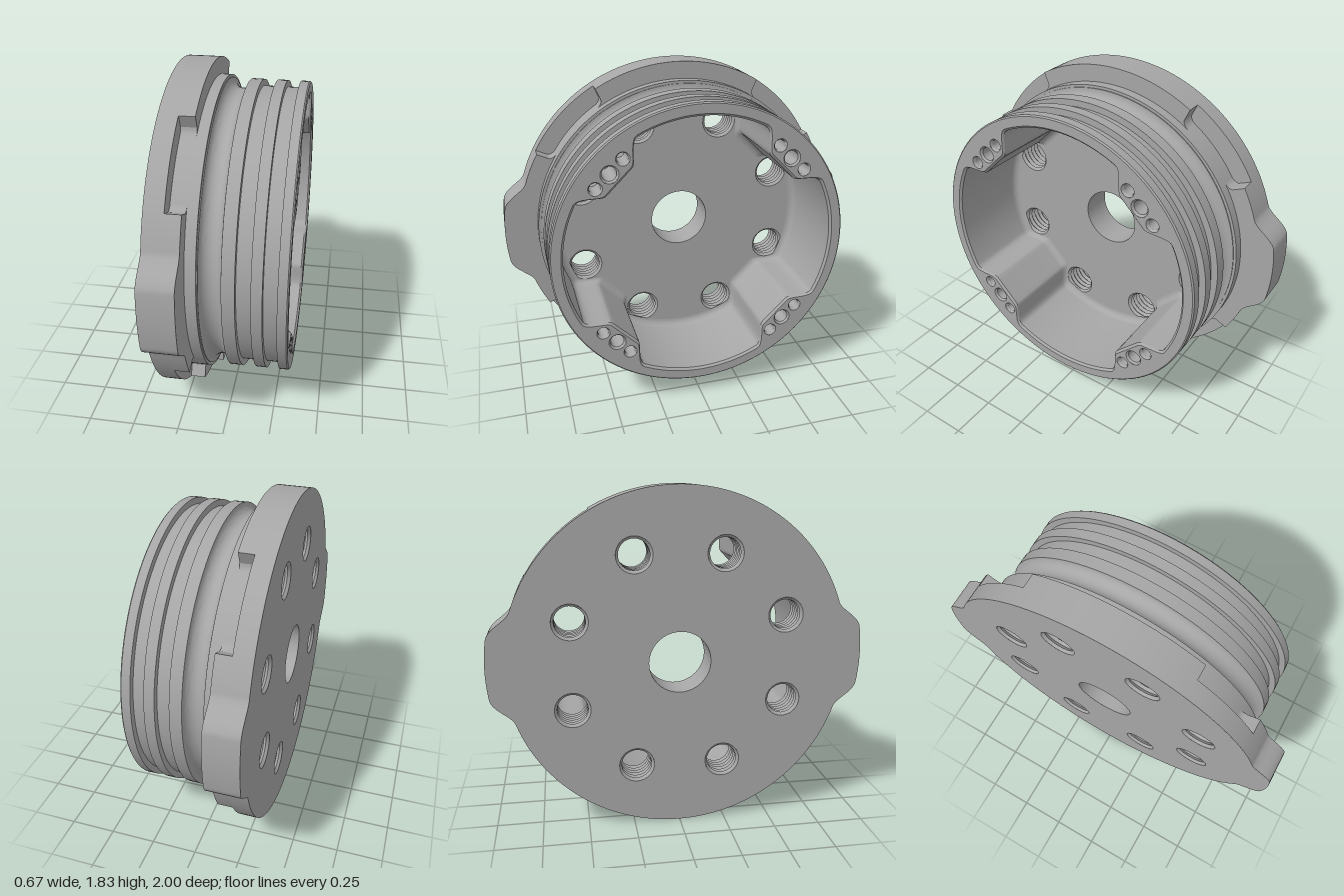
import * as THREE from 'three';
import { toCreasedNormals } from 'three/addons/utils/BufferGeometryUtils.js';

const RAD = Math.PI / 180;
const BACK = -0.335, LEDGE = -0.235, FLOOR = -0.155, SHOULDER = -0.1, FRONT = 0.333;
const FLANGE_R = 0.9125, SHOULDER_R = 0.82;

export function createModel() {
  const metal = new THREE.MeshStandardMaterial({ color: 0xa6a6a6 });
  metal.name = 'machined grey';

  const model = new THREE.Group();
  model.name = 'threadedHub';
  // Everything is built around local z, then turned so that the axis lies on x.
  const hub = new THREE.Group();
  hub.name = 'hub';
  hub.rotation.y = Math.PI / 2;
  hub.position.y = FLANGE_R;
  model.add(hub);

  const add = (name, geometry, x = 0, y = 0) => {
    const mesh = new THREE.Mesh(toCreasedNormals(geometry, 0.45), metal);
    mesh.name = name;
    mesh.position.set(x, y, 0);
    hub.add(mesh);
  };
  const smooth = (a, b, v) => THREE.MathUtils.smoothstep(v, a, b);
  const polar = (r, deg) => new THREE.Vector2(r * Math.cos(deg * RAD), r * Math.sin(deg * RAD));
  const outline = (radiusAt, n = 720) =>
    Array.from({ length: n }, (_, i) => polar(radiusAt(i * 360 / n), i * 360 / n));
  const circle = (r, x = 0, y = 0) =>
    new THREE.Path().absarc(x, y, r, 0, Math.PI * 2, false);
  const extrude = (shape, z0, z1) =>
    new THREE.ExtrudeGeometry(shape, { depth: z1 - z0, bevelEnabled: false, curveSegments: 32 })
      .translate(0, 0, z0);
  // Profile of [radius, z]; rising z faces outward, falling z faces inward.
  const lathe = (profile, segments) =>
    new THREE.LatheGeometry(profile.map(([r, z]) => new THREE.Vector2(r, z)), segments)
      .rotateX(Math.PI / 2);

  // Step with a rounded inner corner: 0 outside, 1 fully inside; e in degrees
  const filletStep = (e) => {
    if (e <= 0) return 0;
    const t = 1 - Math.min(e / 3.4, 1);
    return 0.5 + 0.5 * Math.sqrt(1 - t * t);
  };
  // Angle to the nearest horizontal direction, 0 to 90
  const fold = (deg) => {
    const a = deg % 180;
    return Math.min(a, 180 - a);
  };
  const flangeR = (deg) => FLANGE_R + 0.0875 * (1 - smooth(9, 19, fold(deg)));
  const notchedR = (deg) =>
    flangeR(deg) - (FLANGE_R - SHOULDER_R) * filletStep(15 - Math.abs(fold(deg) - 45));
  const shoulderR = (deg) =>
    FLANGE_R - (FLANGE_R - SHOULDER_R) * filletStep(Math.abs(deg - 270) - 11.4);
  // Round pocket with a flat boss on each diagonal
  const pocketR = (deg) => {
    const d = Math.abs(deg % 90 - 45);
    const flat = 0.608 / Math.cos(Math.min(d, 12) * RAD);
    return THREE.MathUtils.lerp(flat, 0.733, smooth(9, 18, d));
  };

  // Flange: eared plate, then a layer with four rim notches
  const boltSpots = Array.from({ length: 8 }, (_, i) => polar(0.615, 22.5 + i * 45));
  const flangeLayer = (radiusAt) => {
    const shape = new THREE.Shape(outline(radiusAt));
    shape.holes.push(circle(0.165));
    boltSpots.forEach((p) => shape.holes.push(circle(0.095, p.x, p.y)));
    return shape;
  };
  add('flangePlate', extrude(flangeLayer(flangeR), BACK, LEDGE));
  add('notchedFlange', extrude(flangeLayer(notchedR), LEDGE, FLOOR));

  // Shoulder ring with the locating tab at the bottom
  const shoulder = new THREE.Shape(outline(shoulderR));
  shoulder.holes.push(circle(0.76));
  add('shoulderWithTab', extrude(shoulder, FLOOR, SHOULDER));

  // Outer body: round groove followed by two square grooves
  const body = [[0.77, SHOULDER], [0.805, SHOULDER], [0.805, -0.095]];
  for (let i = 1; i <= 16; i++) {
    const t = i * Math.PI / 16;
    body.push([0.803 - 0.054 * Math.sin(t), -0.04 - 0.055 * Math.cos(t)]);
  }
  for (const [z0, z1] of [[0.08, 0.155], [0.21, 0.28]]) {
    body.push([0.802, z0], [0.767, z0], [0.767, z1], [0.802, z1]);
  }
  body.push([0.802, 0.326], [0.795, FRONT]);
  add('groovedBody', lathe(body, 128));

  // Pocket wall: chamfered lip, straight side, fillet down to the floor
  const rings = [[0.012, FRONT], [0, 0.321]];
  const fillet = 0.04;
  for (let i = 0; i <= 6; i++) {
    const t = i * Math.PI / 12;
    rings.push([-fillet * (1 - Math.cos(t)), FLOOR + fillet * (1 - Math.sin(t))]);
  }
  const N = 360, positions = [], index = [];
  rings.forEach(([offset, z], i) => {
    for (let j = 0; j < N; j++) {
      const p = polar(pocketR(j * 360 / N) + offset, j * 360 / N);
      positions.push(p.x, p.y, z);
      if (i === rings.length - 1) continue;
      const a = i * N + j, b = i * N + (j + 1) % N;
      index.push(a, b, a + N, b, b + N, a + N);
    }
  });
  const wall = new THREE.BufferGeometry();
  wall.setAttribute('position', new THREE.Float32BufferAttribute(positions, 3));
  wall.setIndex(index);
  add('pocketWall', wall);

  // Blind holes in each boss: one large between two small
  const drills = [];
  for (let q = 0; q < 4; q++) {
    for (const [r, offset, size, depth] of [[0.676, 0, 0.047, 0.2], [0.687, 8.4, 0.036, 0.12], [0.687, -8.4, 0.036, 0.12]]) {
      drills.push({ p: polar(r, 45 + q * 90 + offset), size, depth });
    }
  }

  // Front rim face
  const rim = new THREE.Shape(outline(() => 0.795, 128));
  rim.holes.push(new THREE.Path(outline((d) => pocketR(d) + 0.012, N)));
  drills.forEach(({ p, size }) => rim.holes.push(circle(size, p.x, p.y)));
  add('rimFace', new THREE.ShapeGeometry(rim, 24).translate(0, 0, FRONT));
  drills.forEach(({ p, size, depth }) => {
    const inner = size * 0.8;
    add('bossHole', lathe([[size, FRONT], [inner, FRONT - 0.012], [inner, FRONT - depth],
      [0, FRONT - depth - inner * 0.6]], 24), p.x, p.y);
  });

  // Threaded bolt holes through the flange
  const thread = [];
  const turns = 6, pitch = (FLOOR - BACK) / turns;
  for (let i = 0; i < turns; i++) {
    thread.push([0.095, FLOOR - i * pitch], [0.081, FLOOR - (i + 0.5) * pitch]);
  }
  thread.push([0.095, BACK]);
  boltSpots.forEach((p) => add('boltThread', lathe(thread, 32), p.x, p.y));

  return model;
}
